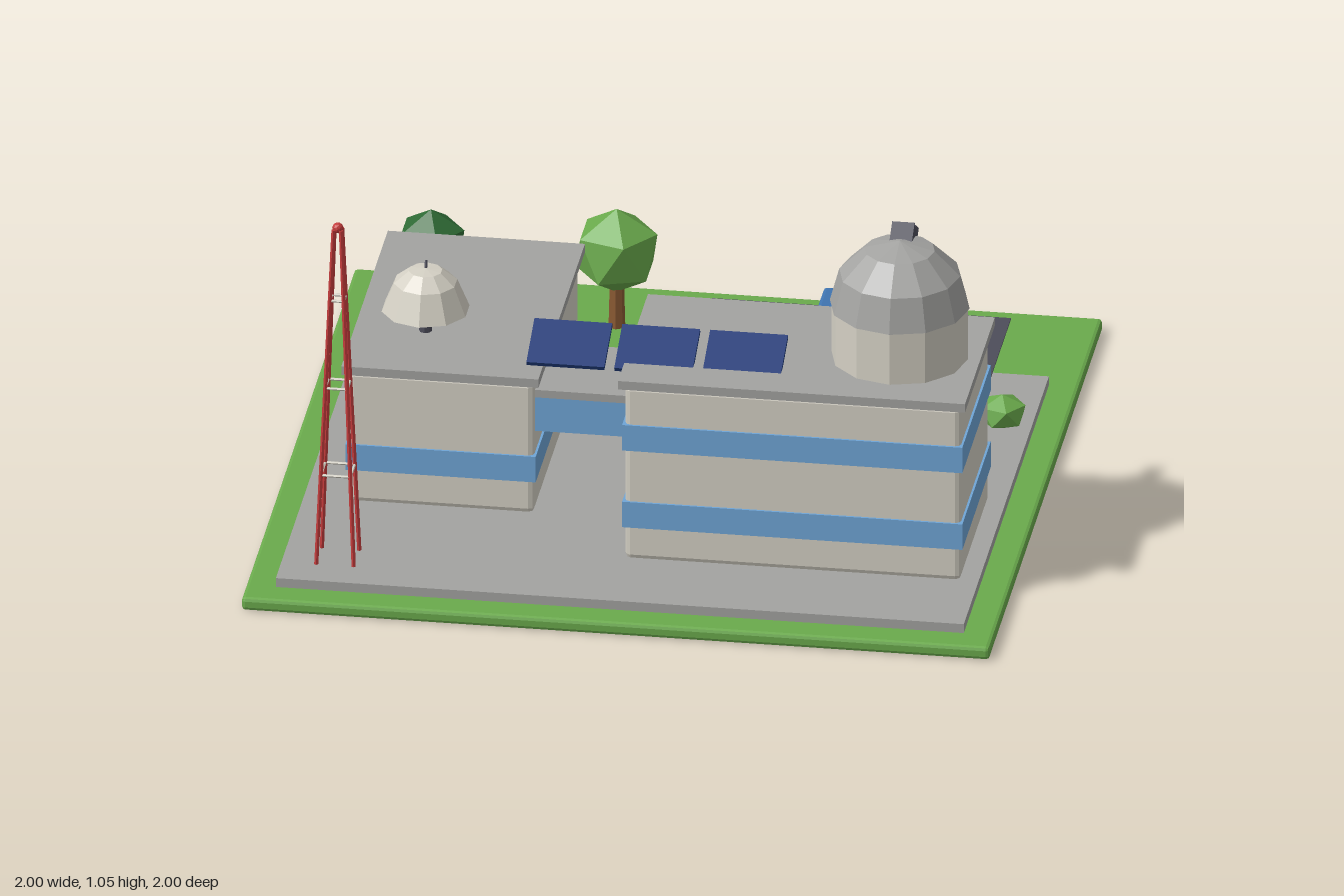
import * as THREE from 'three';
import { RoundedBoxGeometry } from 'three/addons/geometries/RoundedBoxGeometry.js';

const material = (name, color, extra = {}) => {
  const m = new THREE.MeshStandardMaterial({ color, flatShading: true, ...extra });
  m.name = name;
  return m;
};

export function createModel() {
  const grass = material('grass green', 0x6aaa4c);
  const darkLeaf = material('dark leaf green', 0x2f6b35);
  const concrete = material('concrete grey', 0xa3a3a1);
  const wall = material('wall cream', 0xd4d0c4);
  const glass = material('window blue', 0x6fa5d6);
  const blue = material('paint blue', 0x3f74b0);
  const navy = material('solar navy', 0x1f3a78);
  const asphalt = material('asphalt grey', 0x4d4d5a);
  const red = material('red', 0xc43c3c);
  const bark = material('bark brown', 0x8a5a33);

  const model = new THREE.Group();
  model.name = 'observatoryStation';

  const add = (name, geometry, mat, x = 0, y = 0, z = 0, parent = model) => {
    const mesh = new THREE.Mesh(geometry, mat);
    mesh.name = name;
    mesh.position.set(x, y, z);
    parent.add(mesh);
    return mesh;
  };
  const group = (name) => {
    const g = new THREE.Group();
    g.name = name;
    model.add(g);
    return g;
  };
  // Box from its minimum and maximum corners, with optional bevel
  const box = (name, mat, [x0, y0, z0], [x1, y1, z1], parent = model, bevel = 0) => {
    const size = [x1 - x0, y1 - y0, z1 - z0];
    const geometry = bevel ? new RoundedBoxGeometry(...size, 1, bevel) : new THREE.BoxGeometry(...size);
    return add(name, geometry, mat, (x0 + x1) / 2, (y0 + y1) / 2, (z0 + z1) / 2, parent);
  };
  // Straight round bar between two points
  const rod = (name, mat, a, b, radius, sides, parent) => {
    const dir = b.clone().sub(a);
    const mesh = add(name, new THREE.CylinderGeometry(radius, radius, dir.length(), sides), mat, 0, 0, 0, parent);
    mesh.position.copy(a).add(b).multiplyScalar(0.5);
    mesh.quaternion.setFromUnitVectors(new THREE.Vector3(0, 1, 0), dir.normalize());
    return mesh;
  };

  // Grounds
  box('lawn', grass, [-1, 0, -1], [1, 0.037, 1], model, 0.01);
  box('paving', concrete, [-0.92, 0.035, -0.58], [0.92, 0.063, 0.92]);
  box('parkingLot', asphalt, [-0.03, 0.064, -0.9], [0.77, 0.068, -0.5]);

  // Buildings: bevelled body, window bands all round, overhanging roof slab
  const building = (name, x0, x1, z0, z1, top, bands) => {
    const g = group(name);
    box('walls', wall, [x0, 0.063, z0], [x1, top, z1], g, 0.015);
    const o = 0.006;
    for (const y of bands) box('windowBand', glass, [x0 - o, y, z0 - o], [x1 + o, y + 0.075, z1 + o], g);
    box('roof', concrete, [x0 - 0.015, top - 0.003, z0 - 0.018], [x1 + 0.015, top + 0.022, z1 + 0.018], g);
  };
  building('mainBuilding', -0.025, 0.873, 0.18, 0.67, 0.574, [0.16, 0.386]);
  building('sideBuilding', -0.8, -0.303, -0.345, 0.44, 0.448, [0.16]);

  // Raised link between the buildings
  const link = group('linkBridge');
  box('linkGlass', glass, [-0.31, 0.297, 0.225], [-0.02, 0.4, 0.415], link);
  box('linkRoof', concrete, [-0.31, 0.398, 0.22], [-0.02, 0.42, 0.42], link);

  // Rear entrance
  box('entranceDoor', blue, [0.335, 0.16, 0.163], [0.505, 0.332, 0.185]);
  box('entranceCanopy', blue, [0.25, 0.276, 0.03], [0.595, 0.299, 0.182], model, 0.006);

  // Observatory drum and dome, with shutter and telescope tilted to the back
  const observatory = group('observatory');
  observatory.position.set(0.673, 0.745, 0.42);
  add('drum', new THREE.CylinderGeometry(0.183, 0.183, 0.155, 12), wall, 0, -0.075, 0, observatory);
  add('dome', new THREE.SphereGeometry(0.187, 12, 3, 0, Math.PI * 2, 0, Math.PI / 2), concrete, 0, 0, 0, observatory);
  const aim = new THREE.Group();
  aim.name = 'telescopeAim';
  aim.rotation.x = 0.585;
  observatory.add(aim);
  box('shutter', asphalt, [-0.03, 0, -0.17], [0.03, 0.14, -0.1], aim);
  rod('telescope', asphalt, new THREE.Vector3(0, 0, -0.08), new THREE.Vector3(0, 0, -0.235), 0.021, 8, aim);

  // Dish on the side building
  const dish = group('dish');
  dish.position.set(-0.627, 0.47, 0.212);
  add('dishMast', new THREE.CylinderGeometry(0.017, 0.017, 0.08, 8), asphalt, 0, 0.038, 0, dish);
  const bowl = [[0.118, 0.065], [0.085, 0.145], [0.045, 0.178], [0, 0.183]].map(([r, y]) => new THREE.Vector2(r, y));
  const dishSkin = material('wall cream', 0xd4d0c4, { side: THREE.DoubleSide });
  add('dishBowl', new THREE.LatheGeometry(bowl, 10), dishSkin, 0, 0, 0, dish);
  rod('dishPin', asphalt, new THREE.Vector3(0, 0.17, 0), new THREE.Vector3(0, 0.2, -0.015), 0.004, 5, dish);

  // Solar panels
  for (let i = 0; i < 3; i++) {
    const panel = add('solarPanel', new THREE.BoxGeometry(0.208, 0.012, 0.155), navy, -0.195 + i * 0.235, 0.613, 0.523);
    panel.rotation.x = 0.4;
  }

  // Radio tower: four leaning legs, square braces and a beacon
  const tower = group('radioTower');
  tower.position.set(-0.777, 0, 0.77);
  const spread = (y) => THREE.MathUtils.mapLinear(y, 0.063, 1.03, 0.05, 0.01);
  const corner = (i, y) => {
    const s = spread(y);
    return new THREE.Vector3([1, -1, -1, 1][i % 4] * s, y, [1, 1, -1, -1][i % 4] * s);
  };
  for (let i = 0; i < 4; i++) {
    rod('towerLeg', red, corner(i, 0.063), corner(i, 1.03), 0.006, 6, tower);
    for (const y of [0.32, 0.572, 0.826]) rod('towerBrace', wall, corner(i, y), corner(i + 1, y), 0.004, 5, tower);
  }
  add('beacon', new THREE.IcosahedronGeometry(0.015, 1), red, 0, 1.033, 0, tower);

  // Low-poly foliage with one corner pointing up
  const leafBall = (radius, squash = 1) =>
    new THREE.IcosahedronGeometry(radius, 0).rotateZ(-0.5536).scale(1, squash, 1);
  const tree = (mat, x, z, radius, y) => {
    const g = group('tree');
    g.position.set(x, 0, z);
    add('trunk', new THREE.CylinderGeometry(0.019, 0.023, 0.15, 7), bark, 0, 0.14, 0, g);
    add('foliage', leafBall(radius), mat, 0, y, 0, g);
  };
  tree(grass, -0.255, -0.705, 0.122, 0.287);
  tree(darkLeaf, -0.755, -0.727, 0.1, 0.26);
  add('bush', leafBall(0.069, 0.72), grass, 0.845, 0.113, -0.255);

  // Parked cars
  const car = (x, paint) => {
    const g = group('car');
    g.position.set(x, 0, -0.705);
    box('carBody', paint, [-0.067, 0.092, -0.125], [0.067, 0.147, 0.125], g, 0.014);
    box('carCabin', blue, [-0.056, 0.147, -0.055], [0.056, 0.195, 0.078], g, 0.01);
  };
  car(0.347, blue);
  car(0.597, red);

  return model;
}
